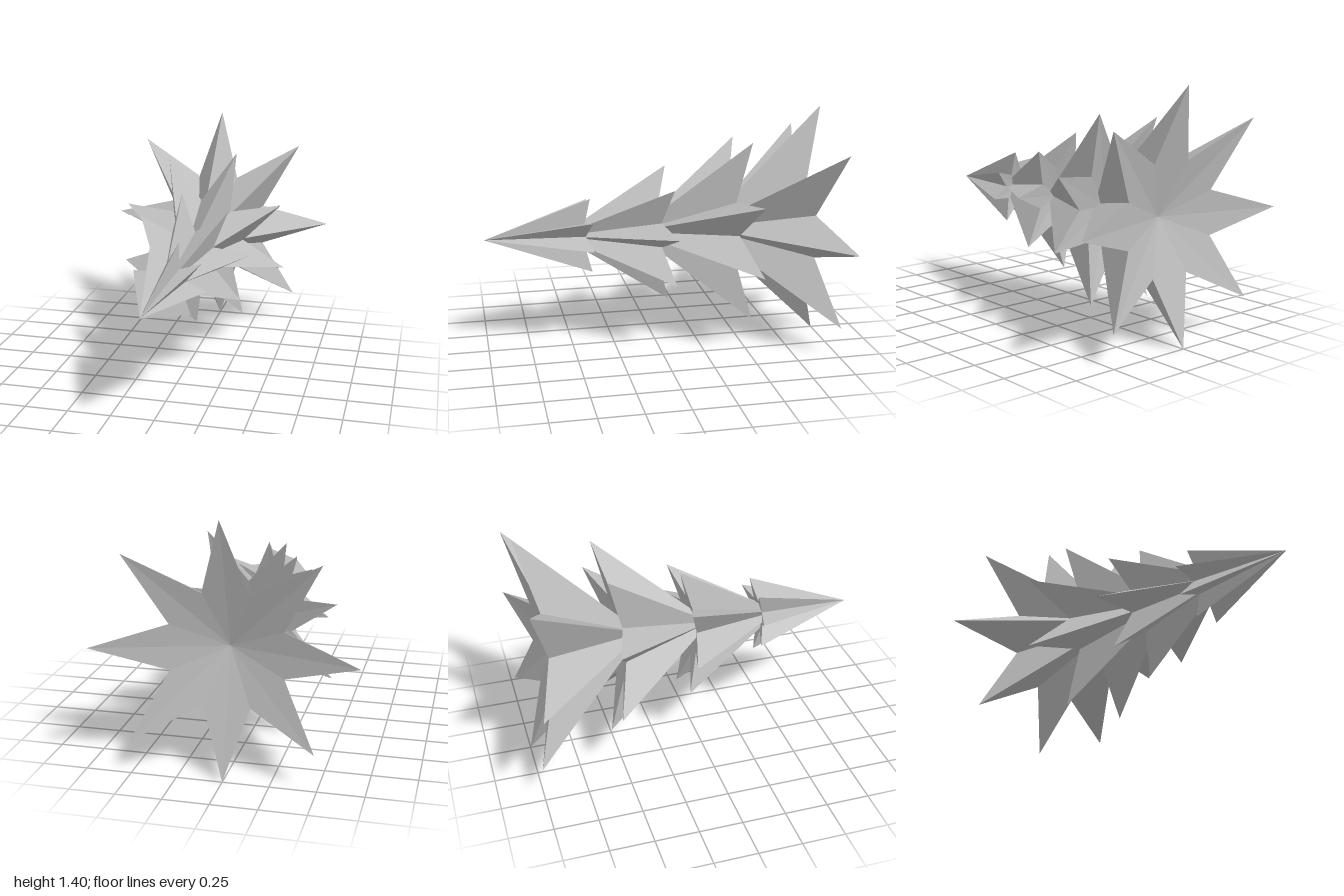
import * as THREE from 'three';

const CENTRE_Y = 0.685;

// Each tier: apex z, tip z, first spike angle (degrees), spike lengths counter-clockwise
const TIERS = [
  { name: 'baseTier', apex: -0.29, tip: -1.0, turn: 0,
    spikes: [0.717, 0.73, 0.715, 0.73, 0.713, 0.685, 0.685, 0.714] },
  { name: 'lowerTier', apex: 0.13, tip: -0.535, turn: 25.8,
    spikes: [0.528, 0.577, 0.555, 0.548, 0.549, 0.554, 0.563, 0.53] },
  { name: 'upperTier', apex: 0.565, tip: -0.07, turn: 6.6,
    spikes: [0.386, 0.379, 0.387, 0.38, 0.4, 0.398, 0.413, 0.4] },
  { name: 'topTier', apex: 1.0, tip: 0.39, turn: 32.2,
    spikes: [0.212, 0.233, 0.218, 0.218, 0.212, 0.213, 0.226, 0.215] },
];

// Star-shaped cone with a hollow underside: ring of alternating tips and valleys
function starCone({ apex, tip, turn, spikes }) {
  const mean = spikes.reduce((a, b) => a + b, 0) / spikes.length;
  const count = spikes.length * 2;
  const ring = [];
  for (let i = 0; i < count; i++) {
    const valley = i % 2 === 1;
    const radius = valley ? mean * 0.465 : spikes[i / 2];
    const angle = THREE.MathUtils.degToRad(turn) + (i / count) * Math.PI * 2;
    ring.push([Math.cos(angle) * radius, Math.sin(angle) * radius, valley ? tip + mean * 0.155 : tip]);
  }
  const front = [0, 0, apex];
  const back = [0, 0, tip + mean * 0.29];
  const points = [];
  for (let i = 0; i < count; i++) {
    const a = ring[i];
    const b = ring[(i + 1) % count];
    points.push(...front, ...a, ...b); // outer slope
    points.push(...back, ...b, ...a); // underside
  }
  const geometry = new THREE.BufferGeometry();
  geometry.setAttribute('position', new THREE.Float32BufferAttribute(points, 3));
  geometry.computeVertexNormals();
  return geometry;
}

export function createModel() {
  const group = new THREE.Group();
  group.name = 'spikedTree';
  const grey = new THREE.MeshStandardMaterial({ color: 0xbcbcbc });
  grey.name = 'grey';
  grey.flatShading = true;

  // Four tiers nested along the z axis
  for (const tier of TIERS) {
    const mesh = new THREE.Mesh(starCone(tier), grey);
    mesh.name = tier.name;
    mesh.position.y = CENTRE_Y;
    group.add(mesh);
  }
  return group;
}
